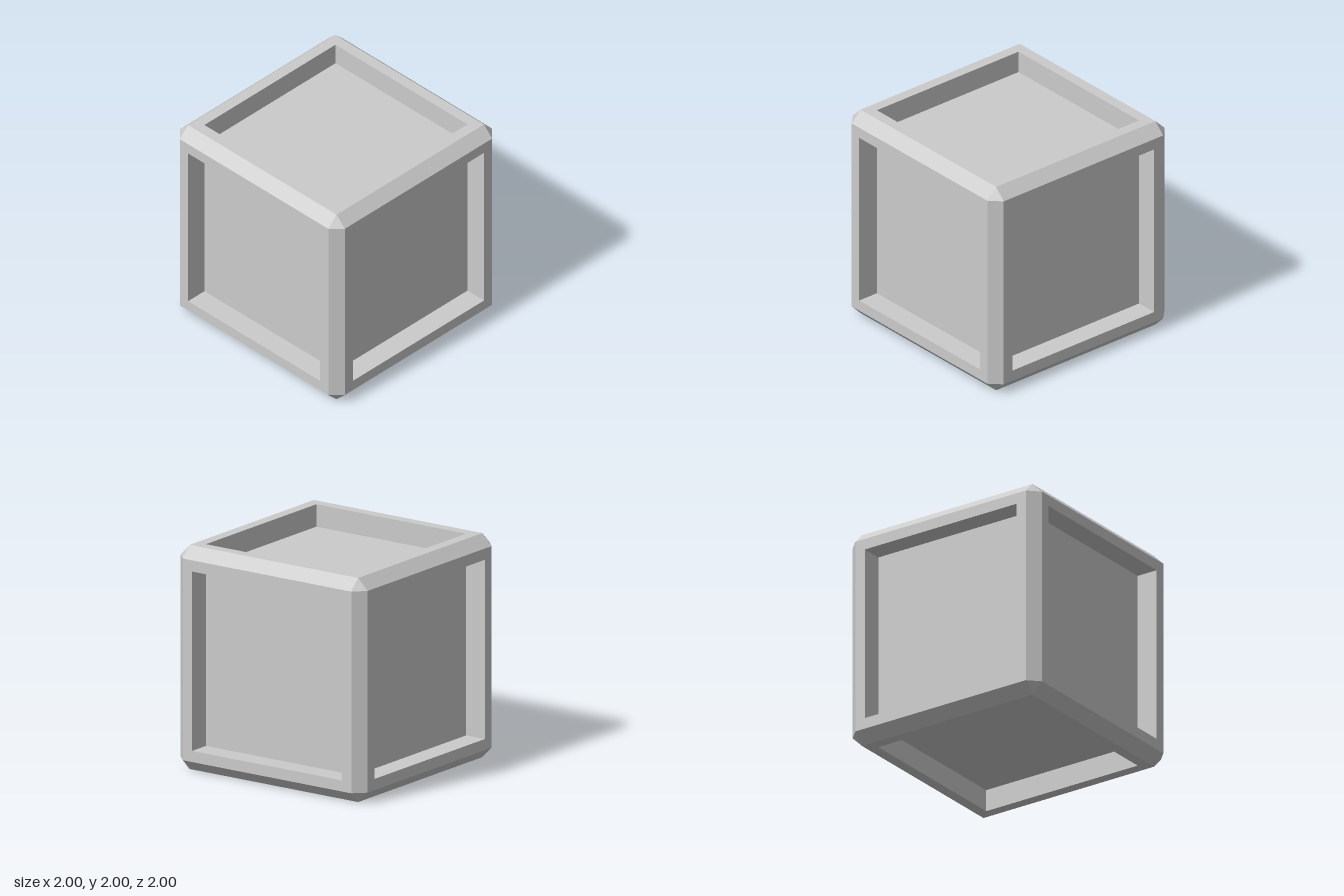
import * as THREE from 'three';

const HALF = 1;       // half the side of the cube
const RIM = 0.9;      // half-width of a face inside its bevels
const OPENING = 0.8;  // half-width of the recess
const FLOOR = 0.8;    // distance of the recess floor from the centre

const material = new THREE.MeshStandardMaterial({ color: 0xcccccc, flatShading: true });

function flatMesh(geometry, name) {
  const geo = geometry.index ? geometry.toNonIndexed() : geometry;
  geo.computeVertexNormals();
  const mesh = new THREE.Mesh(geo, material);
  mesh.name = name;
  return mesh;
}

// Square rim, recess walls and floor as a four-sided lathe facing +y
function panelGeometry() {
  const profile = [[RIM, HALF], [OPENING, HALF], [OPENING, FLOOR], [0, FLOOR]]
    .map(([r, y]) => new THREE.Vector2(r * Math.SQRT2, y));
  return new THREE.LatheGeometry(profile, 4, Math.PI / 4);
}

// Flat triangle cutting off one corner
function cornerGeometry(sx, sy, sz) {
  const points = [[HALF, RIM, RIM], [RIM, HALF, RIM], [RIM, RIM, HALF]]
    .map(([x, y, z]) => new THREE.Vector3(x * sx, y * sy, z * sz));
  if (sx * sy * sz < 0) points.reverse();
  return new THREE.BufferGeometry().setFromPoints(points);
}

export function createModel() {
  const cube = new THREE.Group();
  cube.name = 'recessedCube';
  const quarter = Math.PI / 2;

  // Six recessed faces
  const faces = {
    topPanel: [0, 0, 0],
    bottomPanel: [Math.PI, 0, 0],
    frontPanel: [quarter, 0, 0],
    backPanel: [-quarter, 0, 0],
    leftPanel: [0, 0, -quarter],
    rightPanel: [0, 0, quarter],
  };
  for (const [name, rotation] of Object.entries(faces)) {
    const panel = flatMesh(panelGeometry(), name);
    panel.rotation.set(...rotation);
    cube.add(panel);
  }

  // Twelve bevelled edges, four along each axis
  const axes = { vertical: [0, 0], depth: [quarter, 0], width: [0, quarter] };
  for (const [axis, [rx, rz]] of Object.entries(axes)) {
    for (let i = 0; i < 4; i++) {
      const strip = new THREE.PlaneGeometry((HALF - RIM) * Math.SQRT2, RIM * 2);
      strip.translate(0, 0, (HALF + RIM) / Math.SQRT2);
      strip.rotateY(Math.PI / 4 + i * quarter).rotateX(rx).rotateZ(rz);
      cube.add(flatMesh(strip, `${axis}Bevel${i + 1}`));
    }
  }

  // Eight corner facets
  let count = 0;
  for (const sx of [-1, 1])
    for (const sy of [-1, 1])
      for (const sz of [-1, 1])
        cube.add(flatMesh(cornerGeometry(sx, sy, sz), `cornerFacet${++count}`));

  cube.position.y = HALF;
  const model = new THREE.Group();
  model.name = 'model';
  model.add(cube);
  return model;
}
